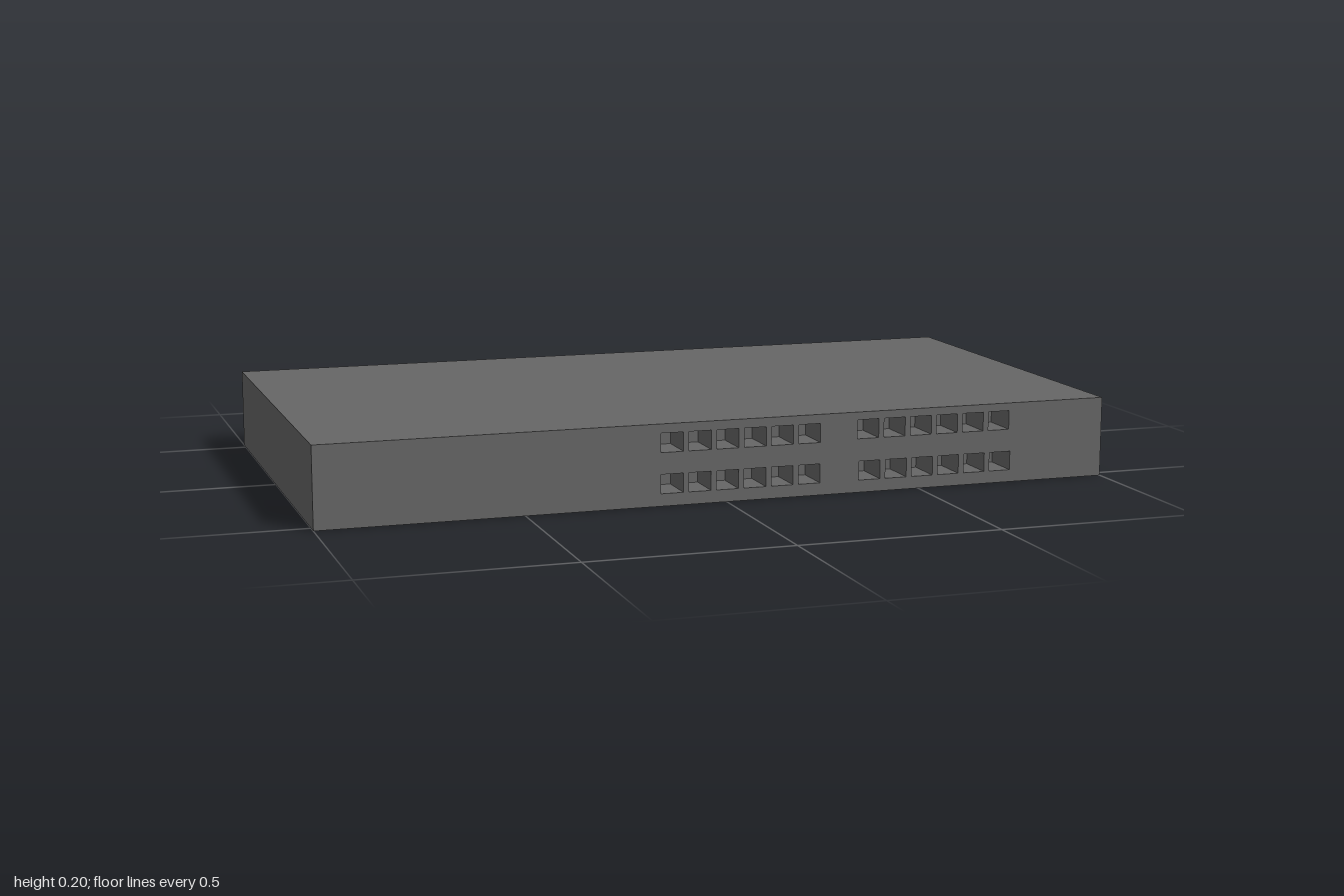
import * as THREE from 'three';

const WIDTH = 2, HEIGHT = 0.2, DEPTH = 1.06;
const PORT_W = 0.056, PORT_H = 0.047, PORT_DEPTH = 0.1, PITCH = 0.07;

// Port banks of six: centre of the first port
const BANKS = [
  [-0.138, 0.154], [-0.138, 0.054],
  [0.365, 0.157], [0.37, 0.054],
];

// Box without its +z face; inward turns the faces to the inside
function openBox(w, h, d, inward = false) {
  const geometry = new THREE.BoxGeometry(w, h, d);
  const index = Array.from(geometry.index.array);
  index.splice(24, 6);
  if (inward) {
    index.reverse();
    const normal = geometry.attributes.normal;
    for (let i = 0; i < normal.array.length; i++) normal.array[i] *= -1;
  }
  geometry.setIndex(index);
  geometry.clearGroups();
  return geometry;
}

function rectangle(Type, cx, cy, w, h) {
  const x = w / 2, y = h / 2;
  return new Type([[-x, -y], [x, -y], [x, y], [-x, y]]
    .map(([px, py]) => new THREE.Vector2(cx + px, cy + py)));
}

export function createModel() {
  const model = new THREE.Group();
  model.name = 'networkSwitch';
  const material = new THREE.MeshStandardMaterial({ color: 0x666666 });

  const add = (parent, name, geometry, x, y, z) => {
    const mesh = new THREE.Mesh(geometry, material);
    mesh.name = name;
    mesh.position.set(x, y, z);
    parent.add(mesh);
  };

  // Housing: top, bottom, sides and back
  add(model, 'housing', openBox(WIDTH, HEIGHT, DEPTH), 0, HEIGHT / 2, 0);

  // Front panel cut out for the ports, with a recessed socket behind each hole
  const panel = rectangle(THREE.Shape, 0, HEIGHT / 2, WIDTH, HEIGHT);
  const socket = openBox(PORT_W, PORT_H, PORT_DEPTH, true);
  BANKS.forEach(([startX, y], b) => {
    const bank = new THREE.Group();
    bank.name = `portBank${b + 1}`;
    for (let i = 0; i < 6; i++) {
      const x = startX + i * PITCH;
      panel.holes.push(rectangle(THREE.Path, x, y, PORT_W, PORT_H));
      add(bank, `port${i + 1}`, socket, x, y, DEPTH / 2 - PORT_DEPTH / 2);
    }
    model.add(bank);
  });
  add(model, 'frontPanel', new THREE.ShapeGeometry(panel), 0, 0, DEPTH / 2);

  return model;
}
